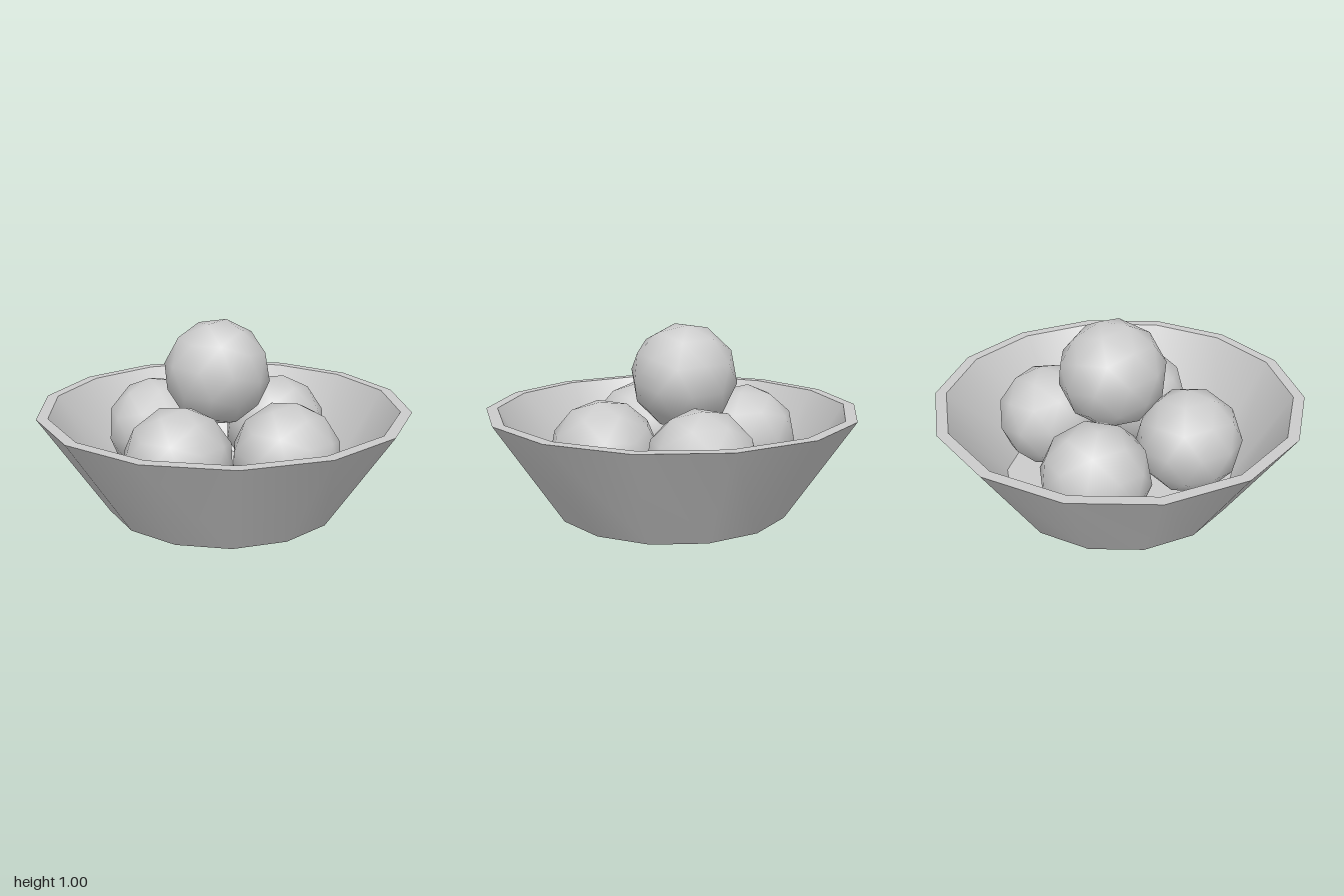
import * as THREE from 'three';
import { toCreasedNormals } from 'three/addons/utils/BufferGeometryUtils.js';

const UP = new THREE.Vector3(0, 1, 0);

export function createModel() {
  const group = new THREE.Group();
  const material = new THREE.MeshStandardMaterial({ color: 0xcccccc });

  // Bowl: 14-sided, with a flat rim, a sloping inner wall and a flat floor
  const profile = [[0, 0], [0.64, 0], [1, 0.55], [0.94, 0.55], [0.64, 0.05], [0, 0.05]]
    .map(([r, y]) => new THREE.Vector2(r, y));
  const bowlGeometry = toCreasedNormals(new THREE.LatheGeometry(profile, 14, Math.PI / 2), 0.7);
  const bowl = new THREE.Mesh(bowlGeometry, material);
  bowl.name = 'bowl';
  group.add(bowl);

  // Fruit: low-poly ball with one corner turned straight up
  const fruitGeometry = new THREE.IcosahedronGeometry(0.29, 1);
  const corner = new THREE.Vector3(0, 1, (1 + Math.sqrt(5)) / 2).normalize();
  fruitGeometry.applyQuaternion(new THREE.Quaternion().setFromUnitVectors(corner, UP));

  const addFruit = (name, position, lean, spinDegrees) => {
    const fruit = new THREE.Mesh(fruitGeometry, material);
    fruit.name = name;
    fruit.position.set(...position);
    const top = new THREE.Vector3(lean[0], 0.28, lean[1]).normalize();
    fruit.quaternion.setFromUnitVectors(UP, top);
    fruit.rotateY(THREE.MathUtils.degToRad(spinDegrees));
    group.add(fruit);
  };

  // Four fruits on the floor and one resting on them
  addFruit('backRightFruit', [-0.29, 0.335, -0.37], [-0.04, -0.01], 8);
  addFruit('backLeftFruit', [0.375, 0.335, -0.215], [0.05, -0.01], 6);
  addFruit('frontRightFruit', [-0.315, 0.335, 0.235], [0.04, 0.01], 8);
  addFruit('frontLeftFruit', [0.245, 0.335, 0.32], [0.05, 0.01], 0);
  addFruit('topFruit', [-0.02, 0.715, -0.06], [0.06, -0.03], 18);

  return group;
}
